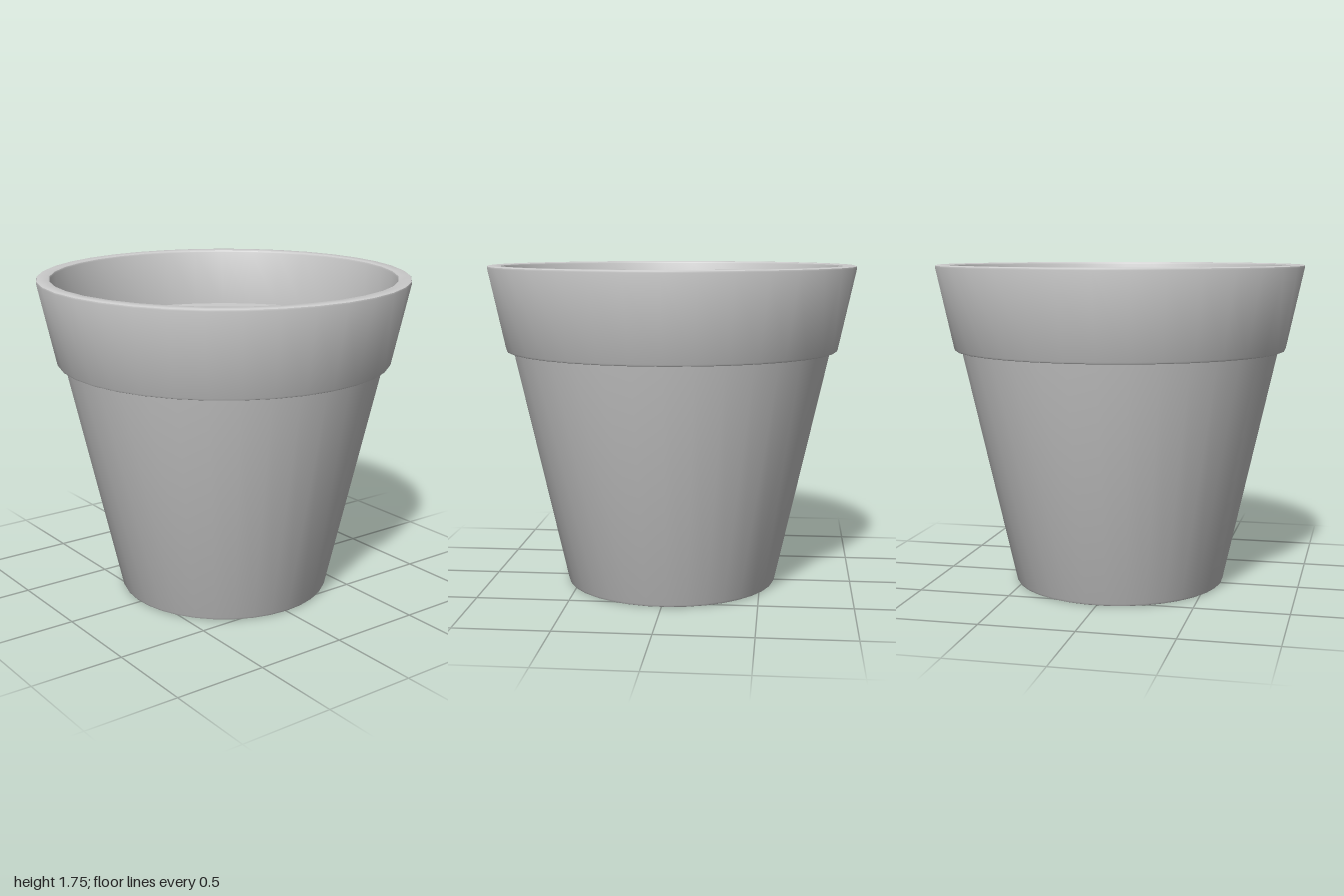
import * as THREE from 'three';
import { toCreasedNormals } from 'three/addons/utils/BufferGeometryUtils.js';

const SIDES = 35;

// Turns a [radius, height] profile around the y axis, keeping hard edges crisp
function turned(name, profile, material) {
  const points = profile.map(([r, y]) => new THREE.Vector2(r, y));
  const geometry = new THREE.LatheGeometry(points, SIDES, Math.PI / 2);
  const mesh = new THREE.Mesh(toCreasedNormals(geometry, 0.6), material);
  mesh.name = name;
  return mesh;
}

export function createModel() {
  const group = new THREE.Group();
  group.name = 'flowerPot';
  const material = new THREE.MeshStandardMaterial({ color: 0xcccccc });

  // Tapered body with a closed, slightly bevelled base
  group.add(turned('body', [
    [0, 0], [0.565, 0], [0.574, 0.004], [0.58, 0.015], [0.866, 1.295],
  ], material));

  // Overhanging collar, rounded lip and inner wall down to the soil
  group.add(turned('rim', [
    [0.866, 1.295], [0.895, 1.295], [0.902, 1.298], [0.906, 1.306],
    [1, 1.743], [0.998, 1.751], [0.99, 1.755],
    [0.938, 1.755], [0.93, 1.751], [0.926, 1.743], [0.916, 1.43],
  ], material));

  // Flat soil surface
  group.add(turned('soil', [[0.916, 1.43], [0, 1.43]], material));

  return group;
}
